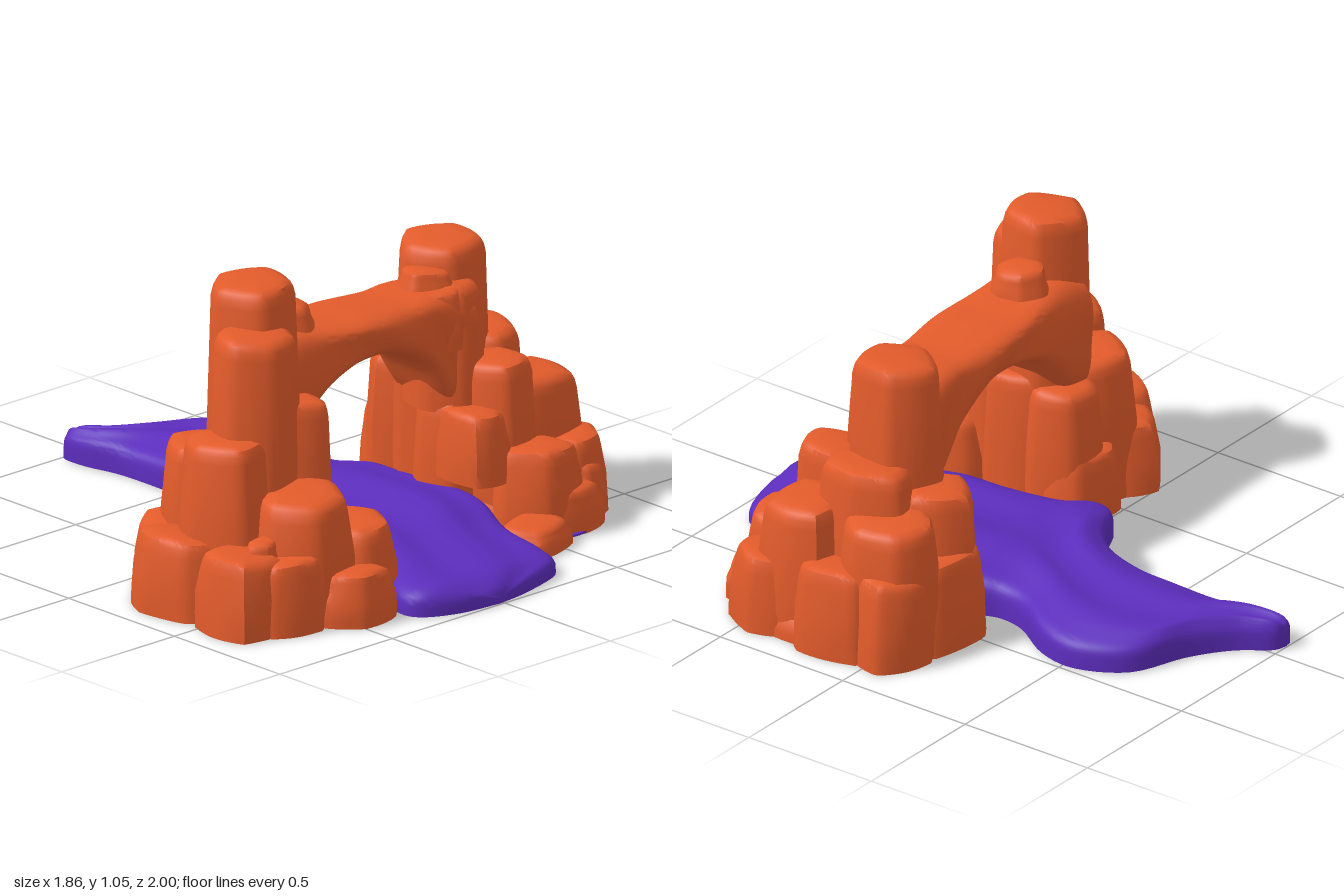
import * as THREE from 'three';
import { toCreasedNormals } from 'three/addons/utils/BufferGeometryUtils.js';

const rockMat = new THREE.MeshStandardMaterial({ color: 0xe25b2b });
rockMat.name = 'orange sandstone';
const riverMat = new THREE.MeshStandardMaterial({ color: 0x5c2dbc });
riverMat.name = 'purple water';

function mesh(geo, mat, name, crease = 0.75) {
  const m = new THREE.Mesh(toCreasedNormals(geo, crease), mat);
  m.name = name;
  return m;
}

// Tapered boulder column with a rounded polygon plan, soft top rim and uneven sides
function column(x, z, rx, rz, h, seed, y0 = 0) {
  const H = h - y0, b = Math.min(0.055, H * 0.35);
  const profile = [[0, 0], [1, 0], [1, H * 0.2], [0.97, H * 0.5], [0.87, H - b], [0.83, H - b * 0.5],
    [0.77, H - b * 0.17], [0.62, H], [0.35, H + 0.003], [0, H + 0.004]];
  const geo = new THREE.LatheGeometry(profile.map(p => new THREE.Vector2(...p)), 40);
  const n = 4 + (seed % 3), step = (Math.PI * 2) / n;
  const p = geo.attributes.position;
  for (let i = 0; i < p.count; i++) {
    const px = p.getX(i), py = p.getY(i), pz = p.getZ(i);
    const r = Math.hypot(px, pz), a = Math.atan2(pz, px) + seed * 1.7 + Math.PI * 4;
    const poly = Math.cos(step / 2) / Math.cos((a % step) - step / 2);
    const k = 0.5 + 0.54 * poly + 0.035 * Math.sin(2 * a + seed) + 0.015 * Math.sin(py * 22 + 3 * a);
    const tilt = py > H * 0.7 ? 0.01 * Math.sin(a) * r : 0;
    p.setXYZ(i, x + px * k * rx, y0 + py + tilt, z + pz * k * rz);
  }
  return geo;
}

function cluster(name, list) {
  const g = new THREE.Group();
  g.name = name;
  list.forEach(([x, z, rx, rz, h, y0], i) =>
    g.add(mesh(column(x, z, rx, rz, h, i + 1, y0), rockMat, 'rockColumn' + (i + 1))));
  return g;
}

// Closed rings of points swept from end to end
function loft(rings) {
  const W = rings[0].length, idx = [];
  for (let i = 0; i < rings.length - 1; i++) for (let j = 0; j < W; j++) {
    const a = i * W + j, b = i * W + (j + 1) % W;
    idx.push(a, a + W, b, b, a + W, b + W);
  }
  const geo = new THREE.BufferGeometry();
  geo.setAttribute('position', new THREE.Float32BufferAttribute(rings.flat(2), 3));
  geo.setIndex(idx);
  return geo;
}

const curve = points => new THREE.CatmullRomCurve3(points, false, 'catmullrom', 0.5);
const power = (v, e) => Math.sign(v) * Math.abs(v) ** e;

// Natural bridge: rounded block sections along x, each [x, underside, top]
function bridge() {
  const rows = [[-0.46, 0.42, 0.82], [-0.38, 0.44, 0.84], [-0.31, 0.51, 0.84], [-0.21, 0.61, 0.825],
    [-0.1, 0.66, 0.815], [0, 0.67, 0.815], [0.1, 0.66, 0.81], [0.2, 0.615, 0.805], [0.27, 0.56, 0.81],
    [0.33, 0.46, 0.81], [0.38, 0.4, 0.8], [0.46, 0.4, 0.79]];
  const low = curve(rows.map(r => new THREE.Vector3(r[0], r[1], 0)));
  const high = curve(rows.map(r => new THREE.Vector3(r[0], r[2], 0)));
  const N = 60, M = 40, rings = [];
  for (let i = 0; i <= N; i++) {
    const l = low.getPoint(i / N), t = high.getPoint(i / N), ring = [];
    for (let j = 0; j < M; j++) {
      const a = (j / M) * Math.PI * 2, s = power(Math.sin(a), 0.5), c = power(Math.cos(a), 0.5);
      const wobble = 1 + 0.04 * Math.sin(l.x * 14 + s * 3);
      ring.push([l.x, (l.y + t.y) / 2 + (s * (t.y - l.y)) / 2, 0.24 - l.x * 0.03 + c * 0.155 * wobble]);
    }
    rings.push(ring);
  }
  return mesh(loft(rings), rockMat, 'naturalBridge', 0.8);
}

// River: flat-bottomed sections along z, each [z, left x, right x, left height, right height]
function river() {
  const rows = [
    [-1, -0.06, -0.06, 0.06, 0.06], [-0.98, -0.1, -0.01, 0.1, 0.1], [-0.88, -0.1, 0.07, 0.12, 0.11],
    [-0.79, -0.08, 0.2, 0.13, 0.12], [-0.71, -0.07, 0.39, 0.13, 0.12], [-0.55, -0.07, 0.48, 0.14, 0.13],
    [-0.4, -0.08, 0.46, 0.14, 0.14], [-0.25, -0.12, 0.37, 0.15, 0.15], [-0.15, -0.21, 0.35, 0.15, 0.16],
    [-0.08, -0.34, 0.37, 0.14, 0.18], [0, -0.37, 0.39, 0.14, 0.2], [0.08, -0.3, 0.39, 0.15, 0.2],
    [0.25, -0.25, 0.38, 0.16, 0.21], [0.4, -0.24, 0.39, 0.16, 0.21], [0.52, -0.22, 0.38, 0.15, 0.19],
    [0.66, -0.25, 0.34, 0.13, 0.13], [0.83, -0.32, 0.33, 0.11, 0.1], [0.92, -0.3, 0.3, 0.1, 0.07],
    [0.98, -0.18, 0.12, 0.06, 0.05], [1, -0.02, -0.02, 0.02, 0.02]];
  const left = curve(rows.map(r => new THREE.Vector3(r[1], r[3], r[0])));
  const right = curve(rows.map(r => new THREE.Vector3(r[2], r[4], r[0])));
  const N = 95, M = 36, rings = [];
  for (let i = 0; i <= N; i++) {
    const l = left.getPoint(i / N), r = right.getPoint(i / N), ring = [];
    for (let j = 0; j <= M; j++) {
      const a = Math.PI * (1 - j / M), u = (power(Math.cos(a), 0.65) + 1) / 2;
      const ripple = 1 - 0.08 * (1 + Math.cos(u * 14 + l.z * 1.5)) * Math.sin(a);
      const h = (l.y + (r.y - l.y) * u ** 2) * Math.max(0, Math.sin(a)) ** 0.45;
      ring.push([l.x + (r.x - l.x) * u, 0.003 + h * ripple, l.z]);
    }
    rings.push(ring);
  }
  return mesh(loft(rings), riverMat, 'river', 0.9);
}

export function createModel() {
  const g = new THREE.Group();
  g.name = 'rockArch';

  // Columns: x, z, half width, half depth, top height, optional bottom height
  g.add(cluster('tallRockTower', [
    [-0.455, 0.285, 0.165, 0.16, 1.04], [-0.545, 0.4, 0.16, 0.15, 0.91], [-0.4, 0.45, 0.11, 0.12, 0.66],
    [-0.68, 0.4, 0.15, 0.17, 0.58], [-0.53, 0.6, 0.18, 0.18, 0.41], [-0.79, 0.6, 0.14, 0.16, 0.26],
    [-0.45, 0.78, 0.14, 0.1, 0.17], [-0.32, 0.6, 0.15, 0.18, 0.27], [-0.36, 0.32, 0.11, 0.15, 0.48],
    [-0.57, 0.22, 0.17, 0.18, 0.5], [-0.4, 0.18, 0.14, 0.14, 0.46], [-0.67, 0.13, 0.14, 0.14, 0.24],
    [-0.42, 0.12, 0.16, 0.12, 0.22], [-0.8, 0.31, 0.13, 0.18, 0.26], [-0.66, 0.69, 0.14, 0.11, 0.24],
    [-0.72, 0.62, 0.07, 0.05, 0.29, 0.2], [-0.27, 0.25, 0.09, 0.1, 0.91, 0.76], [-0.56, 0.42, 0.3, 0.3, 0.15]]));

  g.add(cluster('shortRockTower', [
    [0.5, 0.16, 0.165, 0.165, 0.925], [0.43, 0.25, 0.12, 0.15, 0.82, 0.4], [0.37, 0.23, 0.1, 0.1, 0.86, 0.76],
    [0.53, 0.38, 0.13, 0.15, 0.56], [0.65, 0.17, 0.13, 0.19, 0.6], [0.73, 0.34, 0.17, 0.17, 0.46],
    [0.57, 0.54, 0.16, 0.14, 0.29], [0.79, 0.45, 0.13, 0.14, 0.26], [0.43, 0.68, 0.14, 0.11, 0.09],
    [0.78, 0.52, 0.09, 0.09, 0.18], [0.42, 0.29, 0.13, 0.12, 0.43], [0.5, 0.0, 0.15, 0.16, 0.51],
    [0.56, -0.05, 0.19, 0.14, 0.31], [0.71, 0.03, 0.17, 0.17, 0.47], [0.77, -0.01, 0.14, 0.15, 0.31],
    [0.81, 0.16, 0.12, 0.18, 0.3], [0.64, 0.62, 0.14, 0.07, 0.15], [0.4, 0.41, 0.11, 0.16, 0.42, 0.19],
    [0.38, 0.28, 0.15, 0.11, 0.81, 0.62], [0.62, 0.28, 0.28, 0.34, 0.15]]));

  // Trickle of water at the foot of the short tower
  g.add(mesh(column(0.62, 0.64, 0.07, 0.06, 0.015, 1, 0.003), riverMat, 'puddle'));

  g.add(bridge(), river());
  return g;
}
